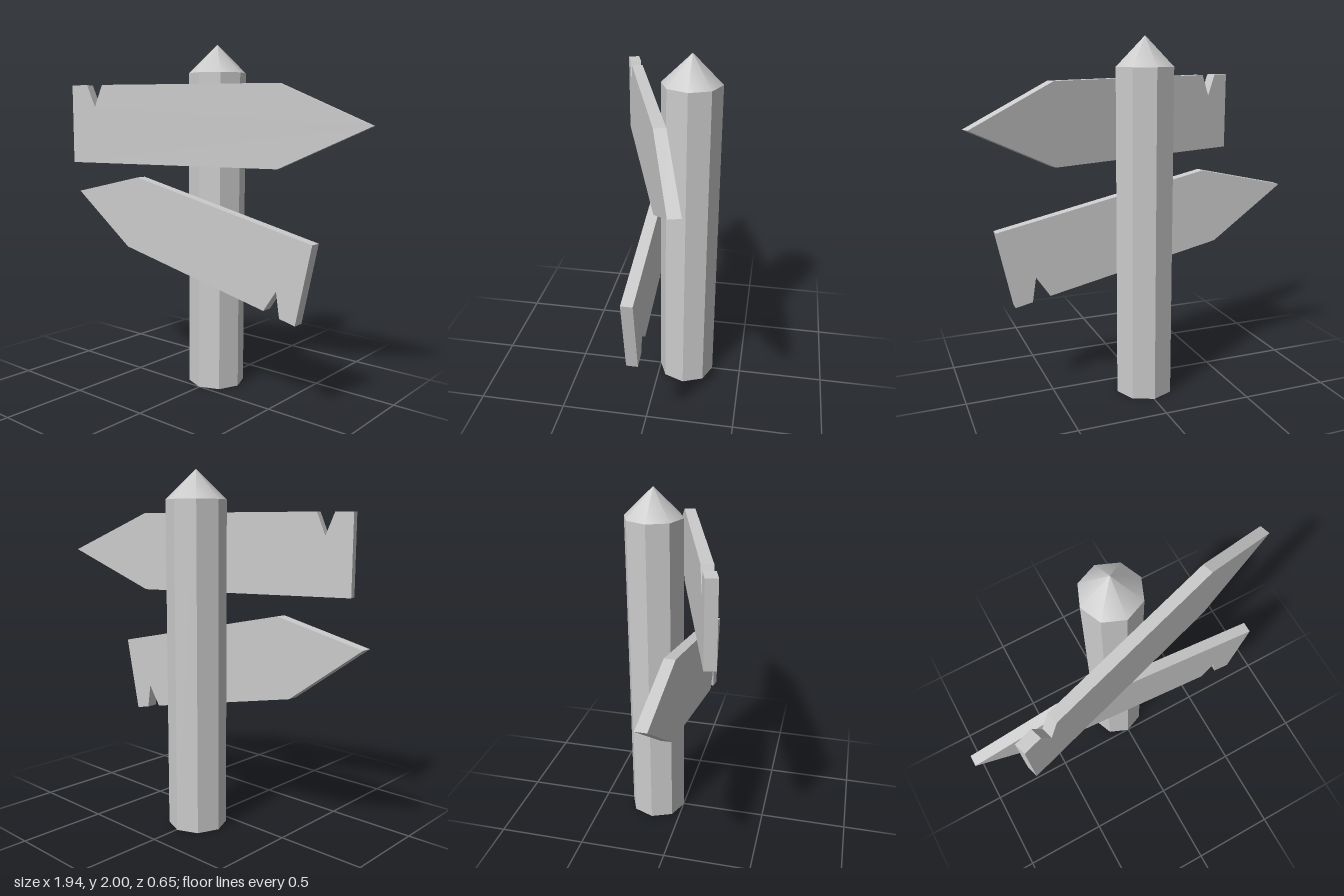
import * as THREE from 'three';

const smooth = new THREE.MeshStandardMaterial({ color: 0xcccccc });
const flat = new THREE.MeshStandardMaterial({ color: 0xcccccc, flatShading: true });

const SIDES = 8, RADIUS = 0.165, POST_TOP = 1.84, TOP = 2;
const THICKNESS = 0.063;

// Flat plank cut from an outline, lying from z = 0 to z = THICKNESS
function plank(name, outline) {
  const shape = new THREE.Shape(outline.map(([x, y]) => new THREE.Vector2(x, y)));
  const geometry = new THREE.ExtrudeGeometry(shape, { depth: THICKNESS, bevelEnabled: false });
  const mesh = new THREE.Mesh(geometry, flat);
  mesh.name = name;
  return mesh;
}

export function createModel() {
  const model = new THREE.Group();
  model.name = 'signpost';

  // Octagonal post with a pointed top
  const post = new THREE.Group();
  post.name = 'post';
  post.position.set(-0.004, 0, -0.163);

  const shaft = new THREE.Mesh(new THREE.CylinderGeometry(RADIUS, RADIUS, POST_TOP, SIDES), flat);
  shaft.name = 'postShaft';
  shaft.position.y = POST_TOP / 2;

  const cap = new THREE.Mesh(new THREE.ConeGeometry(RADIUS, TOP - POST_TOP, SIDES, 1, true), smooth);
  cap.name = 'postCap';
  cap.position.y = (POST_TOP + TOP) / 2;
  post.add(shaft, cap);

  // Upper arrow board, swivelled on the post, with a split in its top edge
  const upper = plank('upperBoard', [
    [0, 1.325], [1.26, 1.32], [1.754, 1.55], [1.26, 1.77],
    [0.2, 1.775], [0.15, 1.65], [0.1, 1.775], [0, 1.775],
  ]);
  upper.position.set(-0.724, 0, 0.265);
  upper.rotation.y = THREE.MathUtils.degToRad(17.25);

  // Lower arrow board, tilted, with a split in its bottom edge
  const lower = plank('lowerBoard', [
    [-0.97, 1.112], [-0.53, 0.795], [0.5, 0.572], [0.58, 0.69],
    [0.602, 0.548], [0.7, 0.526], [0.793, 0.963], [-0.44, 1.23],
  ]);

  model.add(post, upper, lower);
  return model;
}
